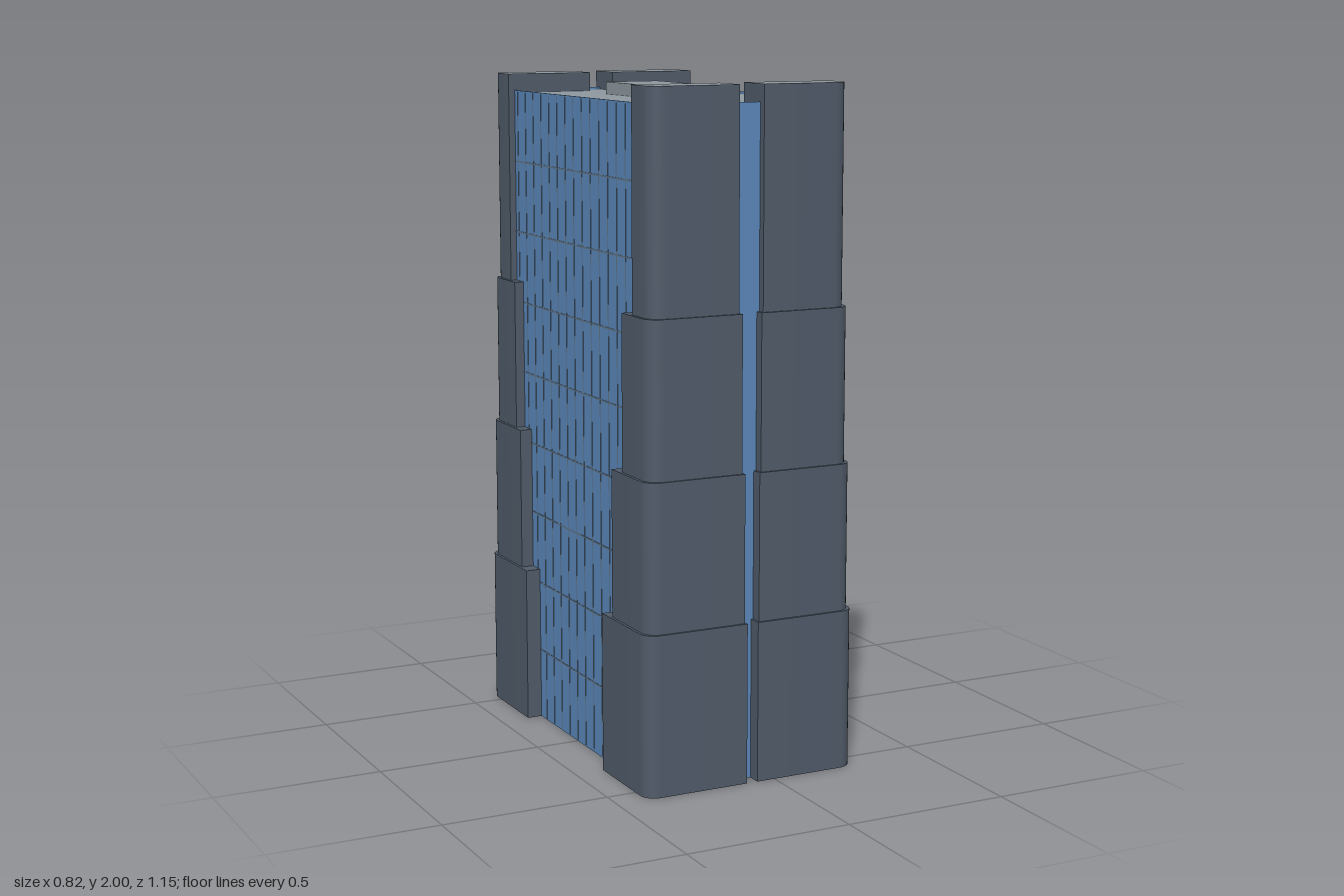
import * as THREE from 'three';

const CX = -0.073; // tower axis, offset by the side stub

const glass = new THREE.MeshStandardMaterial({ color: 0x5b88ba });
glass.name = 'blue glass';
const stone = new THREE.MeshStandardMaterial({ color: 0x505b69, side: THREE.DoubleSide });
stone.name = 'dark slate';
const roofGrey = new THREE.MeshStandardMaterial({ color: 0x8f989f });
roofGrey.name = 'roof grey';
const mullionGrey = new THREE.MeshStandardMaterial({ color: 0x5f7488 });
mullionGrey.name = 'mullion grey';

function add(parent, name, geometry, material, x = 0, y = 0, z = 0) {
  const mesh = new THREE.Mesh(geometry, material);
  mesh.name = name;
  mesh.position.set(x, y, z);
  parent.add(mesh);
  return mesh;
}

// Plan outline of a corner pier: rectangle with its outer corner rounded
function pierPlan(x0, x1, z0, z1, sx, sz, r = 0.045) {
  const pts = [[x0, z0], [x1, z0]];
  for (let i = 0; i <= 8; i++) {
    const a = (i / 8) * Math.PI / 2;
    pts.push([x1 - r + r * Math.cos(a), z1 - r + r * Math.sin(a)]);
  }
  pts.push([x0, z1]);
  const plan = pts.map(([x, z]) => new THREE.Vector2(x * sx, z * sz));
  return sx * sz < 0 ? plan.reverse() : plan;
}

// Open-bottomed upright walls; the rounded corner gets smooth normals
function wallGeometry(plan, h) {
  const pos = [], nor = [];
  const n = plan.length;
  const normals = plan.map((p, i) => {
    const q = plan[(i + 1) % n];
    return new THREE.Vector2(q.y - p.y, p.x - q.x).normalize();
  });
  const blend = (a, b) => (a.dot(b) > 0.8 ? a.clone().add(b).normalize() : b);
  for (let i = 0; i < n; i++) {
    const j = (i + 1) % n;
    const p = plan[i], q = plan[j];
    const np = blend(normals[(i + n - 1) % n], normals[i]);
    const nq = blend(normals[j], normals[i]);
    const quad = [[p, 0, np], [q, h, nq], [q, 0, nq], [p, 0, np], [p, h, np], [q, h, nq]];
    for (const [v, y, m] of quad) {
      pos.push(v.x, y, v.y);
      nor.push(m.x, 0, m.y);
    }
  }
  const g = new THREE.BufferGeometry();
  g.setAttribute('position', new THREE.Float32BufferAttribute(pos, 3));
  g.setAttribute('normal', new THREE.Float32BufferAttribute(nor, 3));
  return g;
}

// Horizontal cap facing up
function capGeometry(plan) {
  return new THREE.ShapeGeometry(new THREE.Shape(plan.map(p => new THREE.Vector2(p.x, -p.y))))
    .rotateX(-Math.PI / 2);
}

export function createModel() {
  const model = new THREE.Group();
  model.name = 'tower';
  const tower = new THREE.Group();
  tower.name = 'towerBody';
  tower.position.x = CX;
  model.add(tower);

  // Glass curtain wall: thin shell, open below, standing just proud of the roof
  const W = 0.292, D = 0.532, H = 1.95, T = 0.005;
  const rect = (w, d, Type) => new Type([[-w, -d], [w, -d], [w, d], [-w, d]].map(([x, y]) => new THREE.Vector2(x, y)));
  const shell = rect(W, D, THREE.Shape);
  shell.holes.push(rect(W - T, D - T, THREE.Path));
  add(tower, 'glassWalls',
    new THREE.ExtrudeGeometry(shell, { depth: H, bevelEnabled: false }).rotateX(-Math.PI / 2), glass);
  add(tower, 'roof', new THREE.BoxGeometry(2 * (W - T), 0.01, 2 * (D - T)), roofGrey, 0, 1.938, 0);
  add(tower, 'roofPlant', new THREE.BoxGeometry(0.172, 0.045, 0.455), roofGrey, 0, 1.9575, 0.012);

  // Fine window grid on both long sides
  for (const s of [-1, 1]) {
    const grid = new THREE.Group();
    grid.name = s > 0 ? 'leftWindowGrid' : 'rightWindowGrid';
    tower.add(grid);
    for (let i = 1; i < 9; i++)
      add(grid, 'transom', new THREE.BoxGeometry(0.002, 0.005, 2 * D - 0.02), mullionGrey, s * W, i * H / 9, 0);
    for (let i = -7; i <= 7; i++)
      add(grid, 'mullion', new THREE.BoxGeometry(0.002, H - 0.01, 0.004), mullionGrey, s * W, H / 2, i * 0.059);
  }

  // Stepped corner piers: [bottom, top, gap half, outer half, inner z, outer z]
  const tiers = [
    [0, 0.475, 0.017, 0.338, 0.28, 0.575],
    [0.475, 0.91, 0.023, 0.33, 0.333, 0.568],
    [0.91, 1.365, 0.03, 0.321, 0.385, 0.562],
    [1.365, 2, 0.038, 0.312, 0.435, 0.555],
  ];
  for (const sx of [-1, 1]) for (const sz of [-1, 1]) {
    const pier = new THREE.Group();
    pier.name = (sz > 0 ? 'front' : 'back') + (sx > 0 ? 'Left' : 'Right') + 'Pier';
    tower.add(pier);
    tiers.forEach(([y0, y1, x0, x1, z0, z1], i) => {
      const plan = pierPlan(x0, x1, z0, z1, sx, sz);
      add(pier, 'pierTier', wallGeometry(plan, y1 - y0), stone, 0, y0, 0);
      add(pier, 'pierCap', capGeometry(plan), i === 3 ? roofGrey : stone, 0, y1, 0);
    });
  }

  // Small stub projecting from the left side, with grey top and underside
  add(model, 'sideStub', new THREE.BoxGeometry(0.2, 0.05, 0.053),
    [glass, glass, roofGrey, roofGrey, glass, glass], 0.31, 0.195, -0.105);

  return model;
}
